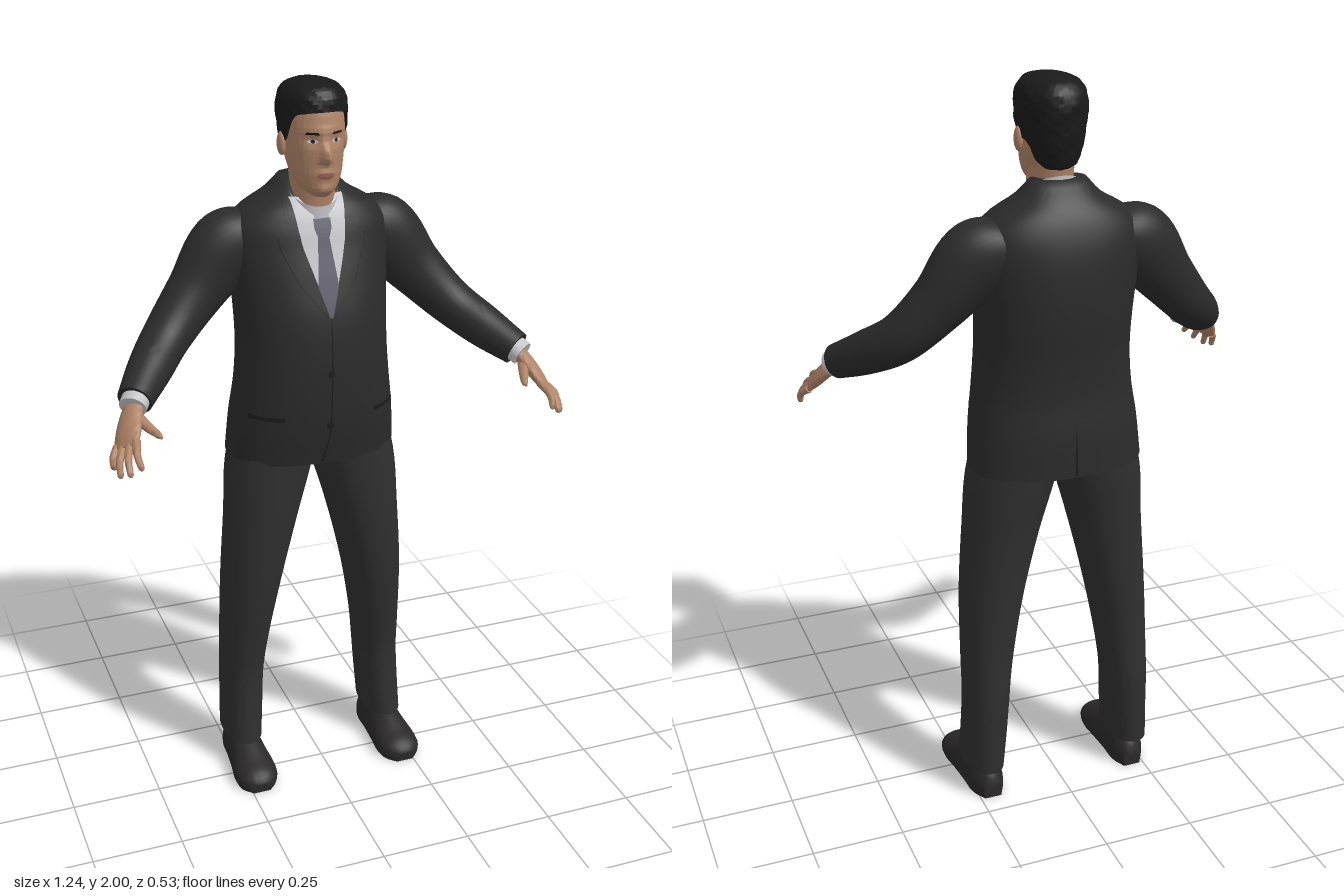
import * as THREE from 'three';
import { toCreasedNormals } from 'three/addons/utils/BufferGeometryUtils.js';

const mat = (name, color) => {
  const m = new THREE.MeshStandardMaterial({ color });
  m.name = name;
  return m;
};
const V = (x, y, z) => new THREE.Vector3(x, y, z);
const clamp = THREE.MathUtils.clamp;
const lerp = THREE.MathUtils.lerp;

// Smooth lookup in rows of [key, ...values]
function table(rows) {
  const size = rows[0].length - 1;
  const it = new THREE.CubicInterpolant(rows.map(r => r[0]), rows.flatMap(r => r.slice(1)), size, new Array(size));
  return k => [...it.evaluate(clamp(k, rows[0][0], rows.at(-1)[0]))];
}

// Surface from a rule f(u, v); side = -1 gives the mirrored part
function surface(f, nu, nv, side = 1) {
  const g = new THREE.PlaneGeometry(1, 1, nu, nv);
  const p = g.attributes.position, uv = g.attributes.uv;
  for (let i = 0; i < p.count; i++) {
    const u = uv.getX(i);
    const q = f(side < 0 ? 1 - u : u, uv.getY(i));
    p.setXYZ(i, q.x * side, q.y, q.z);
  }
  g.deleteAttribute('uv');
  return toCreasedNormals(g, 1.0);
}

// Maps v to a position along a form whose first and last rows close to a point
function capped(v, nv) {
  return [clamp((v * nv - 1) / (nv - 2), 0, 1), v < 1e-6 || v > 1 - 1e-6 ? 0 : 1];
}

// Upright form from rows of [y, xMin, xMax, zFront, zBack]
function form(rows, n = 2) {
  const at = table(rows), y0 = rows[0][0], y1 = rows.at(-1)[0];
  const pow = s => Math.sign(s) * Math.abs(s) ** (2 / n);
  const point = (a, y, k = 1) => {
    const [x0, x1, zf, zb] = at(y);
    return V((x0 + x1) / 2 + k * (x1 - x0) / 2 * pow(Math.sin(a)), y, (zf + zb) / 2 + k * (zf - zb) / 2 * pow(Math.cos(a)));
  };
  const depth = (x, y, dir = 1) => {
    const [x0, x1, zf, zb] = at(y);
    const q = Math.min(1, Math.abs((x - (x0 + x1) / 2) / ((x1 - x0) / 2)));
    return (zf + zb) / 2 + dir * (zf - zb) / 2 * (1 - q ** n) ** (1 / n);
  };
  const build = (nu, nv, side = 1, bump = () => 0) => surface((u, v) => {
    const [t, k] = capped(v, nv), a = (u - 0.5) * 2 * Math.PI;
    const p = point(a, lerp(y0, y1, t), k);
    if (Math.cos(a) > 0) p.z += k * bump(p.x, p.y);
    return p;
  }, nu, nv, side);
  return { point, depth, build };
}

// Limb along points of [x, y, z, radiusAlongRef, otherRadius]
function limb(pts, ref, nu, nv, side) {
  const curve = new THREE.CatmullRomCurve3(pts.map(p => V(p[0], p[1], p[2])));
  const radii = table(pts.map((p, i) => [i / (pts.length - 1), p[3], p[4] ?? p[3]]));
  return surface((u, v) => {
    const [t, k] = capped(v, nv), a = u * 2 * Math.PI, [ra, rb] = radii(t);
    const T = curve.getTangent(t), N = ref.clone().addScaledVector(T, -ref.dot(T)).normalize();
    const B = T.clone().cross(N);
    return curve.getPoint(t).addScaledVector(N, k * ra * Math.cos(a)).addScaledVector(B, k * rb * Math.sin(a));
  }, nu, nv, side);
}

// Thin plate lying on a surface, from rows of [y, x0, x1]
function plate(depth, rows, off, side = 1) {
  const at = y => {
    let i = 0;
    while (i < rows.length - 2 && y > rows[i + 1][0]) i++;
    const [a, b] = [rows[i], rows[i + 1]], t = (y - a[0]) / (b[0] - a[0]);
    return [lerp(a[1], b[1], t), lerp(a[2], b[2], t)];
  };
  return surface((u, v) => {
    const y = lerp(rows[0][0], rows.at(-1)[0], v), [a, b] = at(y), x = lerp(a, b, u);
    return V(x, y, depth(x, y) + off);
  }, 10, 40, side);
}

// Thin oval lying on a surface
const oval = (depth, cx, cy, rx, ry, off, side = 1) => surface((u, v) => {
  const a = v * 2 * Math.PI, x = cx + rx * u * Math.cos(a), y = cy + ry * u * Math.sin(a);
  return V(x, y, depth(x, y) + off);
}, 4, 20, side);

export function createModel() {
  const root = new THREE.Group();
  root.name = 'suitedMan';
  const jacket = mat('jacketCloth', 0x2b2b2c), trim = mat('darkTrim', 0x1d1d1e), cloth = mat('trouserCloth', 0x2f2f30);
  const hair = mat('hair', 0x1b1a1b), skin = mat('skin', 0xb08468), shirt = mat('shirt', 0xc4c4c8);
  const tie = mat('tie', 0x5a5967), leather = mat('shoeLeather', 0x2a2829), lip = mat('lips', 0x935f50);
  trim.side = shirt.side = THREE.DoubleSide;
  const add = (name, geo, m, parent = root) => {
    const o = new THREE.Mesh(geo, m);
    o.name = name;
    parent.add(o);
  };

  // Jacket body
  const sym = rows => rows.map(([y, w, f, b]) => [y, -w, w, f, b]);
  const torso = form(sym([
    [0.99, 0.236, 0.055, -0.262], [1.1, 0.226, 0.077, -0.26], [1.2, 0.212, 0.086, -0.25], [1.3, 0.204, 0.086, -0.254],
    [1.4, 0.205, 0.075, -0.264], [1.5, 0.212, 0.047, -0.266], [1.58, 0.218, 0.02, -0.258], [1.63, 0.212, 0.004, -0.245],
    [1.67, 0.175, -0.014, -0.228], [1.705, 0.115, -0.04, -0.205], [1.748, 0.074, -0.08, -0.165]]), 2.3);
  add('jacketBody', torso.build(64, 60), jacket);
  const front = (x, y) => torso.depth(x, y);
  const back = (x, y) => torso.depth(x, y, -1);

  // Shirt front, tie and jacket details
  add('shirtFront', plate(front, [[1.41, -0.004, 0.004], [1.5, -0.034, 0.034], [1.6, -0.06, 0.06], [1.705, -0.072, 0.072]], 0.003), shirt);
  add('tieBlade', plate(front, [[1.41, -0.004, 0.004], [1.49, -0.028, 0.028], [1.61, -0.015, 0.015]], 0.007), tie);
  add('tieKnot', plate(front, [[1.605, -0.014, 0.014], [1.63, -0.023, 0.023], [1.655, -0.024, 0.024]], 0.009), tie);
  add('frontEdge', plate(front, [[0.995, -0.022, -0.016], [1.08, -0.004, 0.0], [1.41, -0.001, 0.003]], 0.002), trim);
  add('backVent', plate(back, [[0.995, 0.004, -0.004], [1.13, 0.001, -0.001]], -0.003), trim);
  for (const y of [1.26, 1.11]) add('jacketButton', oval(front, -0.005, y, 0.01, 0.01, 0.006), trim);
  for (const s of [1, -1]) {
    add('shirtCollarLeaf', plate(front, [[1.6, 0.044, 0.046], [1.645, 0.022, 0.062], [1.69, 0.016, 0.07], [1.705, 0.03, 0.072]], 0.009, s), shirt);
    add('lapel', plate(front, [[1.41, 0.0, 0.006], [1.5, 0.03, 0.075], [1.585, 0.056, 0.112], [1.605, 0.06, 0.117], [1.615, 0.061, 0.088],
      [1.63, 0.064, 0.106], [1.7, 0.071, 0.092]], 0.006, s), jacket);
    add('lapelEdge', plate(front, [[1.41, 0.004, 0.01], [1.5, 0.073, 0.079], [1.585, 0.11, 0.116], [1.61, 0.114, 0.12]], 0.004, s), trim);
    add('pocketFlap', plate(front, [[1.128, 0.125, 0.205], [1.14, 0.125, 0.205]], 0.004, s), trim);
  }

  // Neck and standing collar
  add('neck', form(sym([[1.62, 0.062, -0.01, -0.14], [1.7, 0.058, -0.004, -0.14], [1.74, 0.058, 0, -0.14], [1.8, 0.06, 0, -0.15]])).build(32, 12), skin);
  add('shirtCollarBand', surface((u, v) => {
    const a = (u - 0.5) * 2 * Math.PI, t = (1 - Math.cos(a)) / 2;
    return V(0.067 * Math.sin(a), lerp(1.64 + 0.08 * t, 1.685 + 0.073 * t, v), -0.075 + 0.077 * Math.cos(a));
  }, 40, 3), shirt);

  // Head with modelled nose, sockets, lips, chin and brow
  const skull = form(sym([
    [1.714, 0.022, 0.018, -0.04], [1.73, 0.043, 0.028, -0.075], [1.76, 0.061, 0.033, -0.115], [1.8, 0.071, 0.035, -0.15],
    [1.85, 0.077, 0.035, -0.165], [1.9, 0.078, 0.031, -0.17], [1.94, 0.072, 0.02, -0.165], [1.97, 0.052, -0.005, -0.14],
    [1.985, 0.02, -0.05, -0.09]]), 2.1);
  const hill = (x, y, sx, sy) => Math.exp(-((x / sx) ** 2) - (y / sy) ** 2);
  const features = (x, y) => 0.03 * hill(x, y - 1.815, 0.012, y > 1.815 ? 0.032 : 0.011)
    - 0.008 * hill(Math.abs(x) - 0.031, y - 1.861, 0.016, 0.013)
    + 0.006 * hill(x, y - 1.773, 0.022, 0.011) + 0.006 * hill(x, y - 1.735, 0.018, 0.012)
    + 0.004 * hill(x, y - 1.884, 0.05, 0.01);
  add('head', skull.build(96, 70, 1, features), skin);
  const face = (x, y) => skull.depth(x, y) + features(x, y);
  add('mouth', oval(face, 0, 1.773, 0.024, 0.008, 0.002), lip);
  for (const s of [1, -1]) {
    add('eyeWhite', oval(face, 0.031, 1.859, 0.013, 0.0045, 0.002, s), shirt);
    add('iris', oval(face, 0.031, 1.859, 0.005, 0.0045, 0.003, s), trim);
    add('eyebrow', plate(face, [[1.876, 0.016, 0.05], [1.882, 0.02, 0.046]], 0.002, s), hair);
    const ear = new THREE.SphereGeometry(1, 16, 12).scale(0.011, 0.031, 0.018).translate(s * 0.083, 1.84, -0.068);
    add('ear', ear, skin);
  }

  // Hair shell with a hairline that drops behind the ears
  const mop = form(sym([
    [1.76, 0.06, 0, -0.148], [1.8, 0.073, 0.03, -0.166], [1.85, 0.081, 0.036, -0.179], [1.9, 0.087, 0.038, -0.185],
    [1.94, 0.087, 0.036, -0.185], [1.97, 0.077, 0.026, -0.173], [1.99, 0.05, 0, -0.142], [1.998, 0.012, -0.05, -0.1]]), 2.1);
  const hairline = table([[0, 1.93], [0.6, 1.925], [1.0, 1.91], [1.3, 1.855], [1.55, 1.84], [1.9, 1.835], [2.2, 1.79], [3.15, 1.768]]);
  add('hair', surface((u, v) => {
    const a = (u - 0.5) * 2 * Math.PI, y = lerp(hairline(Math.abs(a))[0], 1.998, v);
    const wave = 0.018 * Math.sin(a * 9 + y * 60) * Math.sin(y * 150 + a * 4);
    return mop.point(a, y, v < 1e-6 ? 0.88 : v > 1 - 1e-6 ? 0 : 1 + wave);
  }, 96, 36), hair);

  const spread = V(0.5, -0.2, -0.85), zAxis = V(0, 0, 1);
  const shoe = table([[-0.19, 0.026, 0.06, 0.215], [-0.15, 0.046, 0.105, 0.217], [-0.08, 0.051, 0.112, 0.219], [-0.02, 0.056, 0.094, 0.22],
    [0.05, 0.062, 0.066, 0.222], [0.09, 0.052, 0.052, 0.223], [0.115, 0.026, 0.034, 0.223]]);
  const leg = form([
    [0.09, 0.165, 0.274, 0, -0.207], [0.2, 0.156, 0.271, -0.014, -0.21], [0.3, 0.149, 0.269, -0.021, -0.213],
    [0.4, 0.137, 0.268, -0.01, -0.207], [0.6, 0.1, 0.263, 0.018, -0.205], [0.8, 0.05, 0.25, 0.03, -0.211],
    [0.95, 0.006, 0.24, 0.031, -0.224], [1.06, -0.02, 0.215, 0.03, -0.23]], 2.2);

  for (const s of [1, -1]) {
    const side = s > 0 ? 'left' : 'right';
    // Sleeve and shirt cuff
    add(side + 'Sleeve', limb([[0.14, 1.6, -0.135, 0.08, 0.07], [0.215, 1.565, -0.128, 0.082, 0.1], [0.31, 1.458, -0.11, 0.068, 0.078],
      [0.4, 1.363, -0.068, 0.066, 0.064], [0.47, 1.306, 0.01, 0.057, 0.058], [0.53, 1.262, 0.09, 0.046, 0.046]], zAxis, 32, 40, s), jacket);
    add(side + 'Cuff', limb([[0.52, 1.27, 0.08, 0.038, 0.036], [0.54, 1.252, 0.108, 0.037, 0.034]], spread, 24, 5, s), shirt);
    // Hand
    const hand = new THREE.Group();
    hand.name = side + 'Hand';
    root.add(hand);
    add('palm', limb([[0.528, 1.262, 0.09, 0.026, 0.02], [0.552, 1.226, 0.128, 0.036, 0.019], [0.568, 1.196, 0.16, 0.041, 0.016],
      [0.578, 1.176, 0.182, 0.036, 0.01]], spread, 24, 16, s), skin, hand);
    const tips = [[0.56, 1.15, 0.265], [0.586, 1.13, 0.252], [0.606, 1.118, 0.225], [0.614, 1.126, 0.188]];
    tips.forEach((tip, i) => {
      const k = i - 1.5, b = [0.574 + 0.0135 * k, 1.184 - 0.009 * k, 0.172 - 0.013 * k];
      const m = b.map((c, j) => lerp(c, tip[j], 0.55) + [0.006, 0.006, 0.004][j]);
      const e = b.map((c, j) => lerp(c, tip[j], 0.94));
      add('finger', limb([[...b, 0.011], [...m, 0.0095], [...e, 0.0075], [...tip, 0.003]], spread, 10, 14, s), skin, hand);
    });
    add('thumb', limb([[0.54, 1.238, 0.115, 0.017], [0.518, 1.219, 0.165, 0.013], [0.501, 1.211, 0.205, 0.009], [0.497, 1.209, 0.222, 0.004]],
      spread, 10, 14, s), skin, hand);
    // Trouser leg and shoe
    add(side + 'TrouserLeg', leg.build(40, 40, s), cloth);
    add(side + 'Shoe', surface((u, v) => {
      const [t, k] = capped(v, 30), a = u * 2 * Math.PI, z = lerp(-0.19, 0.115, t), [w, h, cx] = shoe(z);
      const sn = Math.sin(a), y = sn > 0 ? 0.022 + (h - 0.022) * sn : 0.022 * (1 - Math.min(1, -3 * sn));
      return V(cx + k * w * Math.cos(a), k ? y : 0.022, z);
    }, 32, 30, s), leather);
  }
  return root;
}
